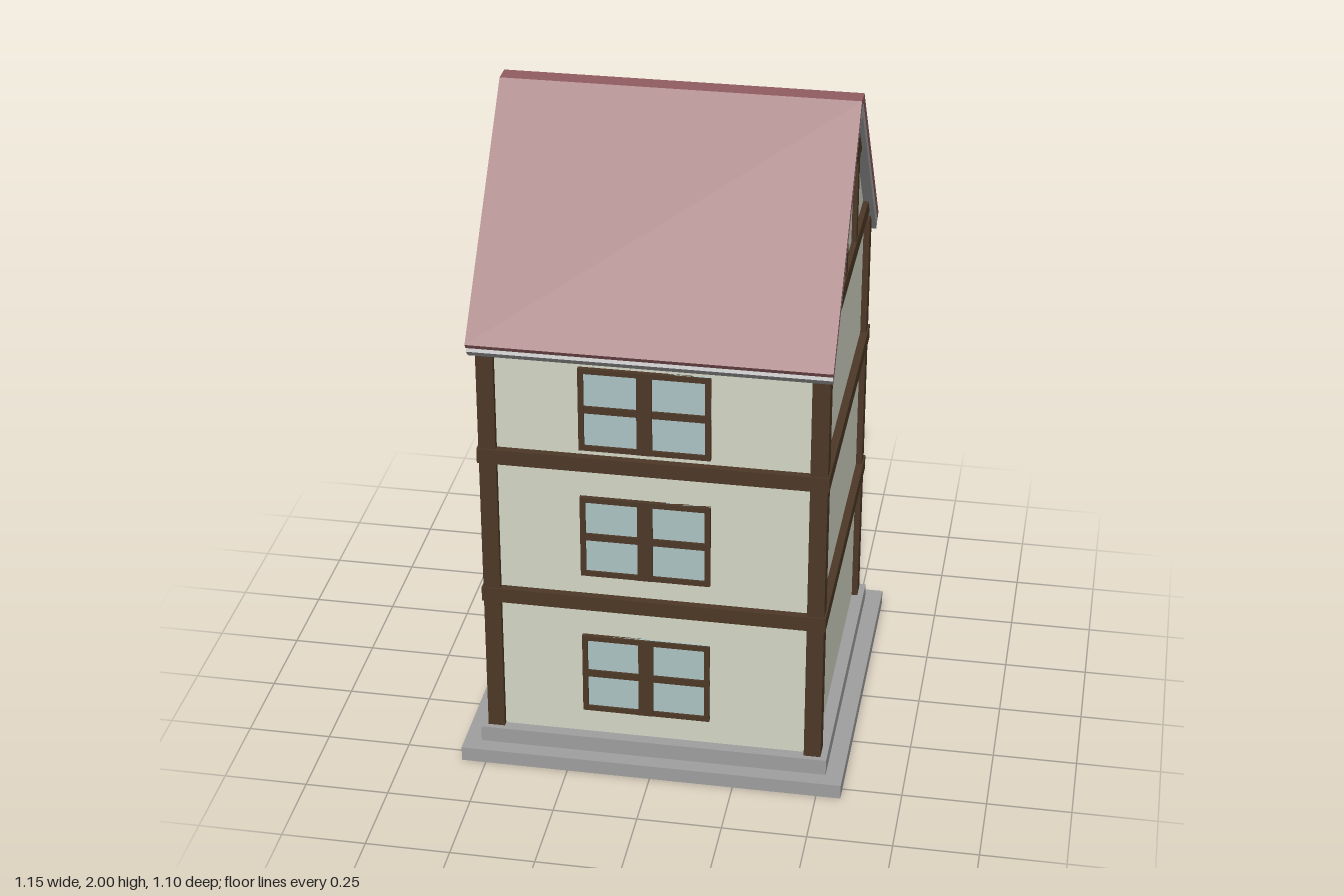
import * as THREE from 'three';

const paint = (color) => new THREE.MeshStandardMaterial({ color });

export function createModel() {
  const model = new THREE.Group();
  model.name = 'timberHouse';
  const stone = paint(0x9e9e9e), plaster = paint(0xd3d5c4), wood = paint(0x4c3826);
  const tile = paint(0x8f5c60), glass = paint(0xabc2c3), navy = paint(0x08085c), brass = paint(0xd8b41c);

  // Box given by its lower and upper corners
  function box(name, mat, [x0, y0, z0], [x1, y1, z1], parent = model) {
    const mesh = new THREE.Mesh(new THREE.BoxGeometry(x1 - x0, y1 - y0, z1 - z0), mat);
    mesh.position.set((x0 + x1) / 2, (y0 + y1) / 2, (z0 + z1) / 2);
    mesh.name = name;
    parent.add(mesh);
    return mesh;
  }

  // Symmetric (z, y) outline pushed along x from x0 to x1; half lists the z > 0 side
  function prism(name, mat, half, x0, x1) {
    const outline = [...half, ...half.slice().reverse().map(([z, y]) => [-z, y])];
    const shape = new THREE.Shape(outline.map(([z, y]) => new THREE.Vector2(z, y)));
    const geo = new THREE.ExtrudeGeometry(shape, { depth: x1 - x0, bevelEnabled: false });
    geo.rotateY(Math.PI / 2).translate(x0, 0, 0);
    const mesh = new THREE.Mesh(geo, mat);
    mesh.name = name;
    model.add(mesh);
  }

  // Stepped plinth
  box('lowerStep', stone, [-0.573, 0, -0.548], [0.573, 0.045, 0.548]);
  box('upperStep', stone, [-0.522, 0.045, -0.5], [0.522, 0.095, 0.5]);

  // Plastered walls with gables
  prism('walls', plaster, [[0.465, 0.095], [0.465, 1.43], [0.025, 1.95]], -0.485, 0.485);

  // Roof: chevron of tiles over a grey underlayer
  prism('roofTiles', tile,
    [[0.03, 2], [0.541, 1.405], [0.53, 1.39], [0.025, 1.978]], -0.517, 0.517);
  prism('roofUnderlayer', stone,
    [[0.025, 1.978], [0.537, 1.382], [0.515, 1.36], [0.025, 1.935]], -0.515, 0.515);

  // Corner posts
  for (const sx of [-1, 1]) for (const sz of [-1, 1]) {
    const post = box('cornerPost', wood, [-0.025, 0.095, -0.0275], [0.025, 1.43, 0.0275]);
    post.position.x = sx * 0.478;
    post.position.z = sz * 0.456;
  }

  // Floor beams on all four sides
  for (const y of [0.535, 1.0]) {
    for (const s of [-1, 1]) {
      const long = box('floorBeam', wood, [-0.508, y, -0.02], [0.508, y + 0.046, 0.02]);
      long.position.z = s * 0.468;
      const side = box('sideFloorBeam', wood, [-0.02, y, -0.488], [0.02, y + 0.046, 0.488]);
      side.position.x = s * 0.488;
    }
  }

  // Gable timbers, cut to the roof slope; the door side has full-height studs
  const slope = (y) => 0.52 - (y - 1.36) / 1.167;
  for (const s of [-1, 1]) {
    const [x0, x1] = s > 0 ? [0.47, 0.501] : [-0.501, -0.47];
    for (const [y0, y1] of [[1.455, 1.505], [1.772, 1.845]]) {
      prism('gableBeam', wood, [[slope(y0), y0], [slope(y1), y1]], x0, x1);
    }
    for (const sz of [-1, 1]) {
      const stud = box('stud', wood, [x0, s > 0 ? 1.49 : 0.095, -0.019], [x1 - s * 0.002, 1.79, 0.019]);
      stud.position.z = sz * 0.119;
    }
  }

  // Four-pane window centred on its own origin, facing +z
  function addWindow(w, h, x, y, z, turn) {
    const win = new THREE.Group();
    win.name = 'window';
    const a = w / 2, b = h / 2, t = 0.016, m = w * 0.058;
    box('panes', glass, [-a, -b, -0.01], [a, b, 0.005], win);
    for (const s of [-1, 1]) {
      box('frameSide', wood, [-t / 2, -b, -0.01], [t / 2, b, 0.012], win).position.x = s * (a - t / 2);
      box('frameRail', wood, [-a, -t / 2, -0.01], [a, t / 2, 0.012], win).position.y = s * (b - t / 2);
    }
    box('mullion', wood, [-m, -b, -0.01], [m, b, 0.013], win);
    box('glazingBar', wood, [-a, -0.011, -0.01], [a, 0.011, 0.011], win);
    win.position.set(x, y, z);
    win.rotation.y = turn;
    model.add(win);
  }
  for (const y of [0.308, 0.778, 1.195]) {
    addWindow(0.38, 0.262, -0.022, y, 0.466, 0);
    addWindow(0.38, 0.262, 0.022, y, -0.466, Math.PI);
    for (const z of [-0.295, 0.295]) addWindow(0.24, 0.29, -0.486, y + 0.015, z, -Math.PI / 2);
  }

  // Door with knob
  box('door', navy, [-0.494, 0.095, -0.1], [-0.47, 0.535, 0.1]);
  const knob = new THREE.Mesh(new THREE.SphereGeometry(0.013, 16, 12), brass);
  knob.name = 'doorKnob';
  knob.position.set(-0.502, 0.3, -0.08);
  model.add(knob);

  return model;
}
